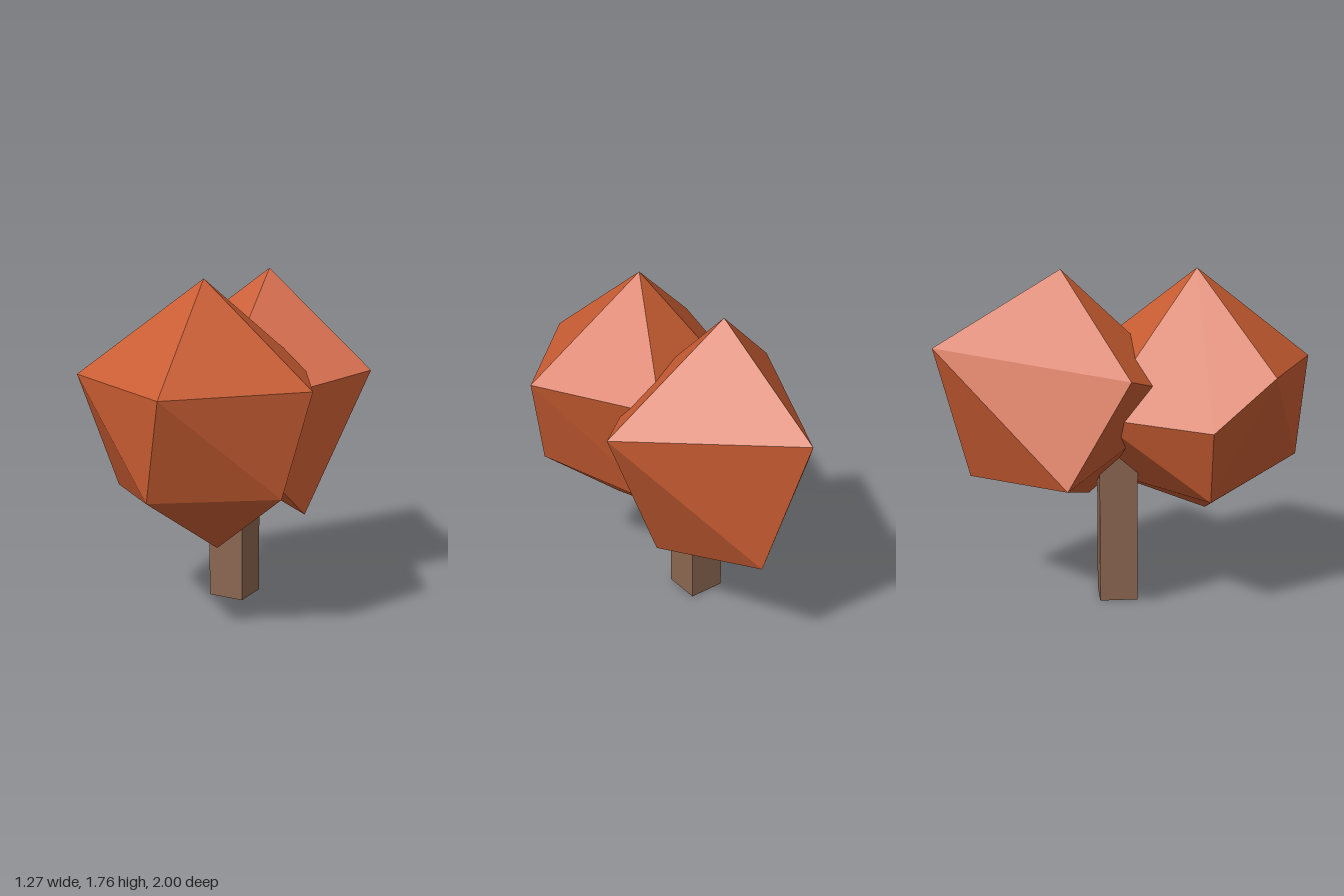
import * as THREE from 'three';
import { ConvexGeometry } from 'three/addons/geometries/ConvexGeometry.js';

const leafMaterial = new THREE.MeshStandardMaterial({ color: 0xc85c32, flatShading: true });
const barkMaterial = new THREE.MeshStandardMaterial({ color: 0x8b6650, flatShading: true });

// Faceted clump of leaves: the convex hull of a few corner points
function leafClump(name, corners) {
  const points = corners.map(([x, y, z]) => new THREE.Vector3(x, y, z));
  const mesh = new THREE.Mesh(new ConvexGeometry(points), leafMaterial);
  mesh.name = name;
  return mesh;
}

export function createModel() {
  const tree = new THREE.Group();
  tree.name = 'tree';

  // Square trunk, reaching up into the leaves
  const trunk = new THREE.Mesh(new THREE.BoxGeometry(0.2, 0.8, 0.2), barkMaterial);
  trunk.name = 'trunk';
  trunk.position.set(-0.06, 0.4, -0.05);
  tree.add(trunk);

  // Front clump: tip, upper ring, lower ring, bottom
  tree.add(leafClump('frontLeaves', [
    [0, 1.76, 0.37],
    [0.12, 1.265, 1], [0.635, 1.265, 0.45], [0.28, 1.265, -0.2], [-0.39, 1.07, -0.185], [-0.545, 1.29, 0.69],
    [-0.64, 1.04, 0.37], [0, 0.75, 0.92], [0.525, 0.75, 0.55], [0.18, 0.62, -0.1], [-0.52, 0.655, 0.38],
    [0.115, 0.42, 0.45],
  ]));

  // Back clump: tip, upper ring, lower corners
  tree.add(leafClump('backLeaves', [
    [0, 1.76, -0.335],
    [0, 1.36, -1], [0.635, 1.265, -0.255], [0.035, 1.08, 0.38], [-0.55, 1.285, -0.02],
    [0.13, 0.63, -0.83], [0.3, 0.46, -0.18], [-0.615, 0.76, -0.335],
  ]));

  return tree;
}
